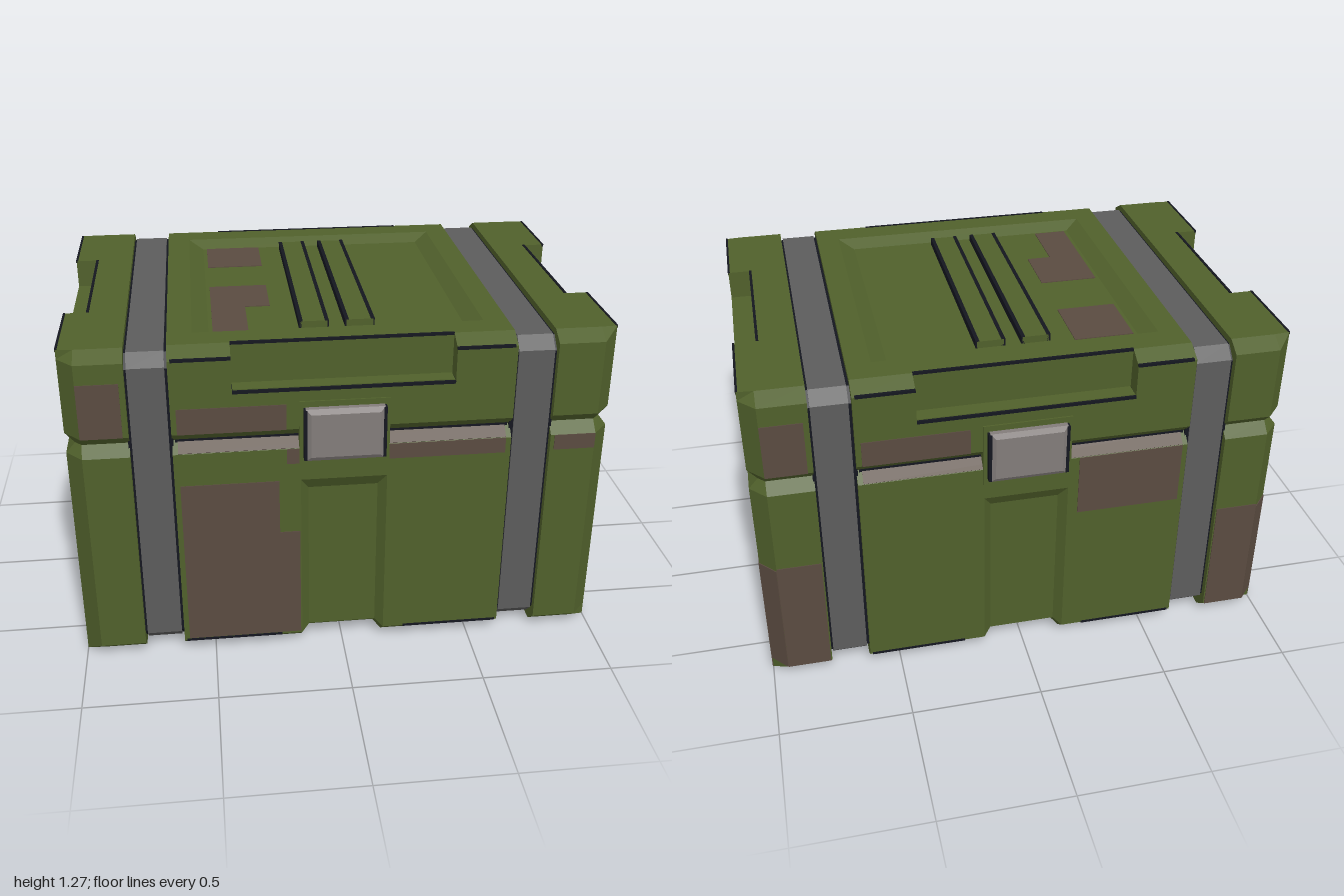
import * as THREE from 'three';

const mat = (name, color, side = THREE.FrontSide) => {
  const m = new THREE.MeshStandardMaterial({ color, side });
  m.name = name;
  return m;
};

export function createModel() {
  const green = mat('olive green', 0x50602b);
  const brown = mat('camouflage brown', 0x5a4b40);
  const grey = mat('strap grey', 0x5c5c5c);
  const steel = mat('latch steel', 0x827c7a);
  const black = mat('dark trim', 0x14161f);
  const model = new THREE.Group();
  model.name = 'crate';

  const add = (name, geo, m, parent = model) => {
    const mesh = new THREE.Mesh(geo, m);
    mesh.name = name;
    parent.add(mesh);
    return mesh;
  };
  // box given by its limits
  const box = (name, m, x0, x1, y0, y1, z0, z1, parent = model) => {
    const mesh = add(name, new THREE.BoxGeometry(Math.abs(x1 - x0), y1 - y0, Math.abs(z1 - z0)), m, parent);
    mesh.position.set((x0 + x1) / 2, (y0 + y1) / 2, (z0 + z1) / 2);
    return mesh;
  };
  // flat-shaded loft; each ring is a pair of matching point lists [near, far]
  const loft = (rings, bottom = true, top = true) => {
    const pos = [];
    const quad = (a, b, c, d) => pos.push(...a, ...b, ...c, ...a, ...c, ...d);
    const loops = rings.map(([a, b]) => [...a, ...[...b].reverse()]);
    for (let r = 0; r + 1 < loops.length; r++) {
      const lo = loops[r], hi = loops[r + 1];
      lo.forEach((p, i) => {
        const j = (i + 1) % lo.length;
        quad(p, lo[j], hi[j], hi[i]);
      });
    }
    const cap = ([a, b], up) => {
      for (let i = 0; i + 1 < a.length; i++) {
        if (up) quad(a[i], a[i + 1], b[i + 1], b[i]);
        else quad(b[i], b[i + 1], a[i + 1], a[i]);
      }
    };
    if (bottom) cap(rings[0], false);
    if (top) cap(rings[rings.length - 1], true);
    const g = new THREE.BufferGeometry();
    g.setAttribute('position', new THREE.Float32BufferAttribute(pos, 3));
    g.computeVertexNormals();
    return g;
  };

  // middle section: [y, half depth, recess outer x, recess inner x, recess z, lift]
  const midRing = ([y, d, a, b, e, lift = 0]) => {
    const front = [[-0.62, y, d], [-a, y, d], [-b, y + lift, e], [b, y + lift, e], [a, y, d], [0.62, y, d]];
    return [front, front.map(([x, h, z]) => [x, h, -z])];
  };
  add('middleBody', loft([
    [0, 0.65, 0.16, 0.13, 0.63, 0.03], [0.05, 0.71, 0.16, 0.13, 0.68, 0.02],
    [0.69, 0.71, 0.16, 0.13, 0.68], [0.74, 0.71, 0.16, 0.16, 0.71],
    [0.87, 0.71, 0.16, 0.16, 0.71], [0.91, 0.67, 0.16, 0.16, 0.67], [0.95, 0.71, 0.16, 0.16, 0.71],
    [1.1, 0.71, 0.4, 0.4, 0.71], [1.1, 0.71, 0.4, 0.4, 0.645],
    [1.235, 0.71, 0.4, 0.4, 0.645], [1.27, 0.645, 0.4, 0.4, 0.645],
  ].map(midRing), true, false), green);

  // lid top with a sunken panel
  const rect = (T, x, z) => new T().moveTo(-x, -z).lineTo(x, -z).lineTo(x, z).lineTo(-x, z).closePath();
  const topShape = rect(THREE.Shape, 0.62, 0.645);
  topShape.holes.push(rect(THREE.Path, 0.53, 0.54));
  add('lidTop', new THREE.ShapeGeometry(topShape).rotateX(-Math.PI / 2).translate(0, 1.27, 0), green);
  const panelRing = (x, y, z) => [[[-x, y, z], [x, y, z]], [[-x, y, -z], [x, y, -z]]];
  add('lidPanel', loft([panelRing(0.53, 1.27, 0.54), panelRing(0.47, 1.24, 0.49)], false, true), green);
  for (const s of [-1, 1]) {
    box('lidRail', green, s * 0.035, s * 0.135, 1.23, 1.267, -0.47, 0.47);
    for (const x of [0.037, 0.133]) box('lidRailTrim', black, s * (x - 0.007), s * (x + 0.007), 1.23, 1.269, -0.47, 0.47);
  }

  // end sections: [y, half depth, outer x, notch x, notch half width]
  const endRing = ([y, d, x, nx, n]) => {
    const half = [[Math.min(0.94, x), d], [x, 0.645], [x, n], [nx, n]];
    const pts = [...half, ...[...half].reverse().map(([a, b]) => [a, -b])];
    return [pts.map(([a, z]) => [a, y, z]), pts.map(([, z]) => [0.77, y, z])];
  };
  const endGeo = loft([
    [0, 0.65, 1, 1, 0.28], [0.05, 0.71, 1, 1, 0.28],
    [0.46, 0.71, 1, 1, 0.28], [0.46, 0.71, 1, 0.9, 0.28], [0.72, 0.71, 1, 0.9, 0.28], [0.72, 0.71, 1, 1, 0.28],
    [0.87, 0.71, 1, 1, 0.28], [0.91, 0.67, 0.965, 0.965, 0.28], [0.95, 0.71, 1, 1, 0.28],
    [1.16, 0.71, 1, 1, 0.3], [1.16, 0.71, 1, 0.915, 0.3],
    [1.235, 0.71, 1, 0.915, 0.3], [1.27, 0.65, 1, 0.915, 0.3],
  ].map(endRing));

  // strap band: chamfered loop profile swept across its width
  const strapGeo = (x0, x1, inset) => {
    const d = 0.69 - inset, lo = 0.035 + inset, hi = 1.25 - inset, c = 0.045;
    const s = new THREE.Shape([[-d, lo + c], [-d + c, lo], [d - c, lo], [d, lo + c], [d, hi - c], [d - c, hi], [-d + c, hi], [-d, hi - c]]
      .map(([u, v]) => new THREE.Vector2(u, v)));
    return new THREE.ExtrudeGeometry(s, { depth: x1 - x0, bevelEnabled: false }).rotateY(Math.PI / 2).translate(x0, 0, 0);
  };

  // one end of the crate, turned round for the other
  for (const turn of [0, Math.PI]) {
    const end = new THREE.Group();
    end.name = turn ? 'rightEnd' : 'leftEnd';
    end.rotation.y = turn;
    model.add(end);
    add('endBody', endGeo, green, end);
    add('strapEdge', strapGeo(0.615, 0.775, 0.005), black, end);
    add('strap', strapGeo(0.63, 0.762, 0), grey, end);
    // handle well with rim and bar
    box('handleWell', grey, 0.89, 0.906, 0.455, 0.725, -0.285, 0.285, end);
    for (const y of [0.46, 0.713]) {
      box('handleWall', grey, 0.9, 0.99, y, y + 0.007, -0.28, 0.28, end);
      box('handleRim', black, 0.985, 1.003, y - 0.005, y + 0.012, -0.29, 0.29, end);
    }
    for (const s of [-1, 1]) {
      box('handleWall', grey, 0.9, 0.99, 0.46, 0.72, s * 0.272, s * 0.28, end);
      box('handleRim', black, 0.985, 1.003, 0.455, 0.725, s * 0.272, s * 0.29, end);
    }
    const bar = add('handleBar', new THREE.CylinderGeometry(0.025, 0.025, 0.55, 20).rotateX(Math.PI / 2), steel, end);
    bar.position.set(0.965, 0.642, 0);
    // dark edge lines of the lid end
    box('endNotchTrim', black, 0.908, 0.918, 1.255, 1.273, -0.3, 0.3, end);
    for (const s of [-1, 1]) box('endTopTrim', black, 0.994, 1.002, 1.262, 1.272, s * 0.3, s * 0.645, end);
  }

  // latch and trim on one long side, turned round for the other
  const latchShape = rect(THREE.Shape, 0.125, 0.085);
  const latchGeo = new THREE.ExtrudeGeometry(latchShape, { depth: 0.02, bevelThickness: 0.012, bevelSize: 0.018, bevelSegments: 1 });
  for (const turn of [0, Math.PI]) {
    const side = new THREE.Group();
    side.name = turn ? 'backFittings' : 'frontFittings';
    side.rotation.y = turn;
    model.add(side);
    box('latchPlate', green, -0.165, 0.165, 0.805, 1.06, 0.66, 0.716, side);
    add('latch', latchGeo, steel, side).position.set(0, 0.935, 0.717);
    box('seam', black, -0.61, 0.61, 0.904, 0.916, 0.66, 0.677, side);
    box('lidNotchTrim', black, -0.4, 0.4, 1.1, 1.112, 0.64, 0.712, side).scale.z = 0.99;
    box('lidNotchLedge', green, -0.398, 0.398, 1.1, 1.115, 0.64, 0.704, side);
    box('lidNotchEdge', black, -0.4, 0.4, 1.262, 1.272, 0.638, 0.648, side);
    for (const s of [-1, 1]) {
      box('latchTrim', black, s * 0.138, s * 0.15, 0.835, 1.035, 0.71, 0.741, side);
      box('lidEdgeTrim', black, s * 0.4, s * 0.61, 1.23, 1.24, 0.7, 0.712, side);
      box('baseEdgeTrim', black, s * 0.24, s * 0.61, 0.047, 0.057, 0.7, 0.712, side);
    }
  }

  // camouflage patches on the front and back: [face, x0, x1, y0, y1]
  for (const [f, x0, x1, y0, y1] of [
    [1, -0.94, -0.79, 0.95, 1.16], [1, -0.6, -0.21, 0.95, 1.05], [1, -0.21, 0.6, 0.81, 0.87],
    [1, -0.6, -0.165, 0.06, 0.52], [1, -0.6, -0.24, 0.52, 0.74], [1, 0.785, 0.94, 0.81, 0.87],
    [-1, 0.79, 0.94, 0.95, 1.16], [-1, 0.21, 0.6, 0.95, 1.05], [-1, -0.6, -0.2, 0.62, 0.87],
    [-1, 0.775, 0.94, 0.05, 0.54], [-1, -0.94, -0.775, 0.05, 0.54],
  ]) box('camouflagePatch', brown, x0, x1, y0, y1, f * 0.707, f * 0.713);
  for (const f of [1, -1]) {
    const strip = box('seamPatch', brown, -0.6, 0.6, 0.864, 0.916, f * 0.687, f * 0.693);
    strip.rotation.x = -f * Math.PI / 4;
  }

  // patches on the ends, their rear corners and the underside
  const endPatch = new THREE.Shape([[-0.3, 0.002], [0.645, 0.002], [0.645, 0.52], [0.3, 0.455], [-0.3, 0.455]]
    .map(([u, v]) => new THREE.Vector2(u, v)));
  const endPatchGeo = new THREE.ExtrudeGeometry(endPatch, { depth: 0.006, bevelEnabled: false }).rotateY(Math.PI / 2);
  for (const s of [-1, 1]) {
    add('endPatch', endPatchGeo, brown).position.x = s - 0.003;
    const corner = box('cornerPatch', brown, -0.044, 0.044, 0.05, 0.53, -0.003, 0.003);
    corner.position.set(s * 0.97, 0.29, -0.6775);
    corner.rotation.y = -s * 0.826;
    box('undersidePatch', brown, s * 0.78, s * 0.995, 0, 0.004, -0.15, 0.35).position.y = 0;
  }

  // patches on the sunken lid panel
  for (const [x1, z0, z1] of [[-0.23, -0.485, -0.24], [-0.23, 0, 0.23], [-0.325, 0.23, 0.48]])
    box('lidPatch', brown, -0.455, x1, 1.237, 1.243, z0, z1);

  return model;
}
